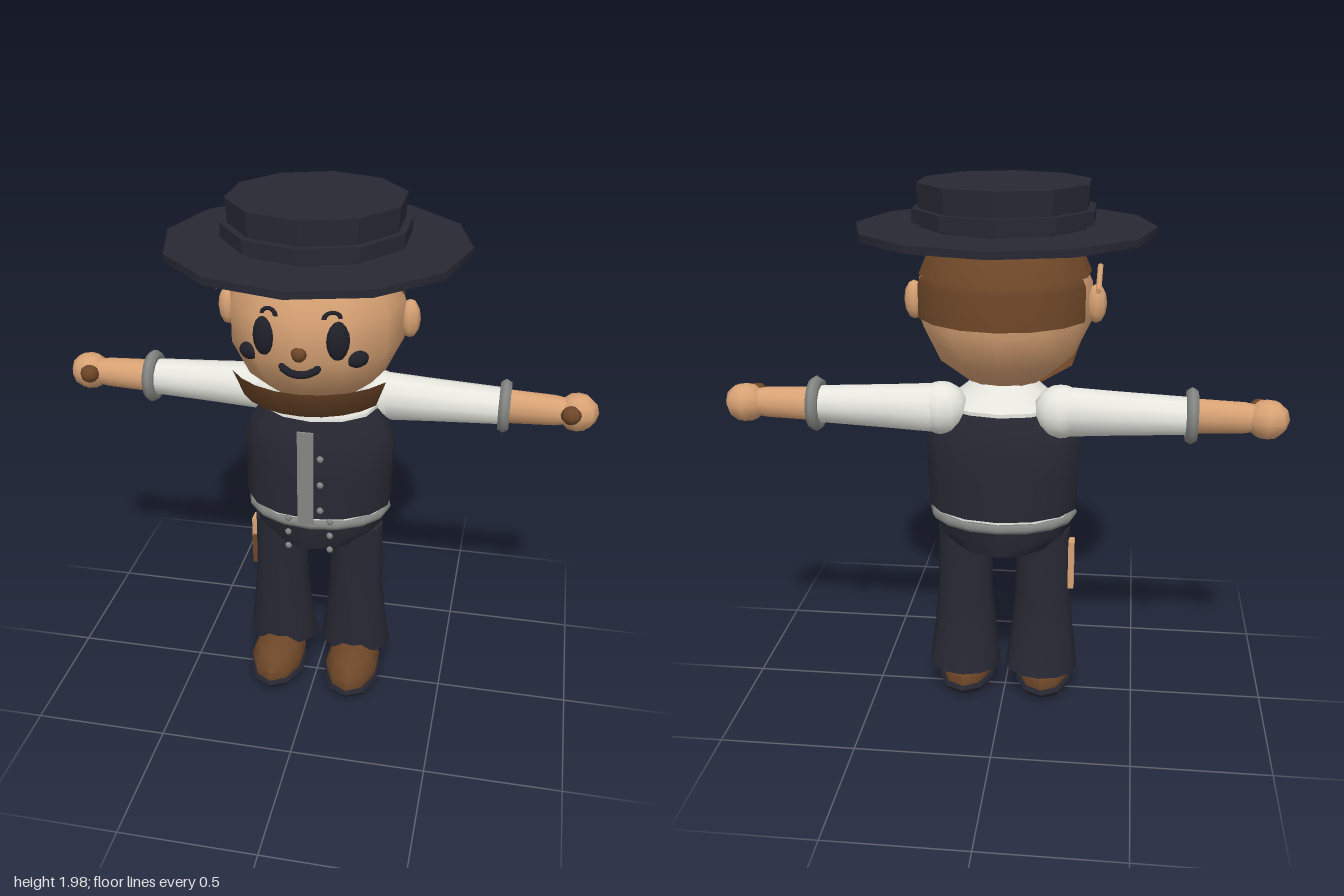
import * as THREE from 'three';
import { toCreasedNormals } from 'three/addons/utils/BufferGeometryUtils.js';

const mat = (name, color) => {
  const m = new THREE.MeshStandardMaterial({ color, side: THREE.DoubleSide });
  m.name = name;
  return m;
};

// Closed solid through elliptical rings [y, rx, rz, cz], listed bottom to top
function loft(rings, seg = 12, crease = 0.7) {
  const pos = [], idx = [];
  for (const [y, rx, rz, cz = 0] of rings)
    for (let j = 0; j < seg; j++) {
      const a = (j / seg) * Math.PI * 2;
      pos.push(rx * Math.sin(a), y, cz + rz * Math.cos(a));
    }
  const last = rings.length - 1;
  pos.push(0, rings[0][0], rings[0][3] || 0, 0, rings[last][0], rings[last][3] || 0);
  const low = rings.length * seg, high = low + 1;
  for (let j = 0; j < seg; j++) {
    const k = (j + 1) % seg;
    for (let i = 0; i < last; i++) {
      const a = i * seg + j, b = i * seg + k;
      idx.push(a, b, b + seg, a, b + seg, a + seg);
    }
    idx.push(low, k, j, high, last * seg + j, last * seg + k);
  }
  const g = new THREE.BufferGeometry();
  g.setAttribute('position', new THREE.Float32BufferAttribute(pos, 3));
  g.setIndex(idx);
  return toCreasedNormals(g, crease);
}

export function createModel() {
  const root = new THREE.Group();
  root.name = 'figure';
  const navy = mat('navy cloth', 0x282834);
  const ink = mat('ink', 0x20202a);
  const skin = mat('skin', 0xd8a274);
  const brown = mat('brown', 0x6e4728);
  const white = mat('white shirt', 0xe6e6df);
  const grey = mat('grey trim', 0x858784);

  const add = (name, geo, material, x = 0, y = 0, z = 0) => {
    const m = new THREE.Mesh(geo, material);
    m.name = name;
    m.position.set(x, y, z);
    root.add(m);
    return m;
  };
  const ball = (name, material, p, r, w = 10, h = 8) => {
    const m = add(name, new THREE.SphereGeometry(1, w, h), material, ...p);
    m.scale.set(...r);
    return m;
  };
  const shell = (name, pts, from, to, seg) => add(name, new THREE.LatheGeometry(
    pts.map(p => new THREE.Vector2(...p)), seg, from, to - from), brown);

  // Hat
  add('hatBrim', loft([[1.8, 0.525, 0.525], [1.826, 0.525, 0.525]]), navy);
  add('hatCrown', loft([[1.82, 0.295, 0.295], [1.975, 0.306, 0.306]], 10, 0.5), navy);
  add('hatBand', loft([[1.842, 0.325, 0.325], [1.89, 0.325, 0.325]], 10, 0.5), navy);

  // Head, hair and beard
  add('head', new THREE.SphereGeometry(0.315, 12, 7), skin, 0, 1.565, 0);
  shell('hairBack', [[0.317, 1.52], [0.317, 1.64], [0.305, 1.667]], 2.0, Math.PI * 2 - 2.0, 6);
  shell('hairTop', [[0.305, 1.665], [0.262, 1.765], [0.215, 1.805]], 1.43, Math.PI * 2 - 1.43, 8);
  shell('beard', [[0, 1.235], [0.115, 1.23], [0.27, 1.29], [0.31, 1.39]], -1.05, 1.05, 8);

  // Face
  ball('nose', brown, [0, 1.53, 0.3], [0.027, 0.027, 0.024], 8, 6);
  const smile = new THREE.CatmullRomCurve3([
    [-0.06, 1.475, 0.288], [-0.03, 1.462, 0.3], [0, 1.458, 0.303], [0.03, 1.462, 0.3], [0.06, 1.475, 0.288],
  ].map(p => new THREE.Vector3(...p)));
  add('mouth', new THREE.TubeGeometry(smile, 10, 0.013, 6), ink);
  for (const s of [1, -1]) {
    ball('eye', ink, [s * 0.125, 1.575, 0.272], [0.04, 0.068, 0.024]).rotation.y = s * 0.4;
    ball('cheek', ink, [s * 0.185, 1.503, 0.238], [0.04, 0.029, 0.022]).rotation.y = s * 0.6;
    ball('mouthCorner', ink, [s * 0.058, 1.477, 0.286], [0.014, 0.014, 0.014], 6, 5);
    const brow = add('eyebrow', new THREE.TorusGeometry(0.027, 0.009, 5, 6, Math.PI), ink, s * 0.105, 1.65, 0.272);
    brow.rotation.set(-0.25, s * 0.35, s * 0.1);
    brow.scale.y = 0.75;
    ball('ear', skin, [s * 0.322, 1.56, -0.015], [0.037, 0.07, 0.036], 8, 6);
  }
  // Pencil tucked above the right ear
  const pencil = add('earPencil', new THREE.CylinderGeometry(0.011, 0.011, 0.2, 6), skin, -0.33, 1.645, 0.0);
  pencil.rotation.x = Math.PI / 2 - 0.25;

  // Torso
  const cz = -0.052;
  add('shirt', loft([[0.79, 0.262, 0.19, cz], [1.18, 0.215, 0.165, cz], [1.205, 0.215, 0.165, cz],
    [1.27, 0.13, 0.12, -0.04], [1.3, 0.1, 0.1, -0.03]]), white);
  add('vest', loft([[0.812, 0.275, 0.202, cz], [0.95, 0.28, 0.203, cz], [1.07, 0.284, 0.203, cz],
    [1.13, 0.258, 0.192, cz], [1.192, 0.218, 0.172, cz]], 14), navy);
  const belt = add('belt', new THREE.TorusGeometry(0.255, 0.019, 6, 16), grey, 0, 0.782, cz);
  belt.rotation.x = Math.PI / 2;
  belt.scale.y = 0.75;
  add('hips', loft([[0.665, 0.18, 0.178, cz], [0.72, 0.245, 0.188, cz], [0.79, 0.255, 0.195, cz]]), navy);
  add('placket', new THREE.BoxGeometry(0.058, 0.37, 0.01), grey, -0.003, 1.005, 0.195);
  for (const y of [1.09, 0.985, 0.88])
    ball('vestButton', grey, [0.05, y, 0.195], [0.013, 0.013, 0.01], 6, 5);

  for (const s of [1, -1]) {
    for (const y of [0.81, 0.75, 0.69])
      ball('hipButton', grey, [s * 0.078, y, 0.152], [0.013, 0.013, 0.01], 6, 5);

    // Arm, stretched sideways
    const ay = 1.2, az = -0.14;
    const limb = (name, rings, material) => {
      add(name, loft(rings), material, 0, ay, az).rotation.z = -s * Math.PI / 2;
    };
    ball('shoulder', white, [s * 0.21, 1.2, az], [0.095, 0.095, 0.09], 12, 8);
    limb('sleeve', [[0.2, 0.092, 0.085], [0.4, 0.08, 0.077], [0.67, 0.066, 0.07]], white);
    add('cuff', new THREE.TorusGeometry(0.077, 0.023, 6, 14), grey, s * 0.665, ay, az).rotation.y = Math.PI / 2;
    limb('forearm', [[0.66, 0.064, 0.056], [0.845, 0.056, 0.05], [0.9, 0.045, 0.045]], skin);
    ball('hand', skin, [s * 0.923, 1.198, -0.145], [0.077, 0.07, 0.07], 8, 6);
    ball('thumb', brown, [s * 0.9, 1.215, -0.075], [0.037, 0.034, 0.034], 8, 6);

    // Flared trouser leg
    add('leg', loft([[0.14, 0.138, 0.115, -0.068], [0.3, 0.118, 0.1, -0.05], [0.45, 0.104, 0.094, -0.042],
      [0.71, 0.1, 0.096, -0.035]]), navy, s * 0.148);

    // Shoe
    add('sole', loft([[0, 0.06, 0.1, 0.025], [0.022, 0.1, 0.155, 0.025], [0.045, 0.112, 0.175, 0.025],
      [0.062, 0.105, 0.168, 0.025]], 10), navy, s * 0.152);
    add('shoe', loft([[0.05, 0.095, 0.165, 0.025], [0.1, 0.106, 0.168, 0.025], [0.145, 0.082, 0.135, 0.02],
      [0.176, 0.04, 0.09, 0.015]], 10, 1.1), brown, s * 0.152);
  }

  // Folding rule in the right thigh pocket
  add('rule', new THREE.BoxGeometry(0.022, 0.19, 0.05), skin, -0.256, 0.575, -0.06);
  add('rulePocket', new THREE.BoxGeometry(0.022, 0.12, 0.02), brown, -0.252, 0.54, -0.03);
  return root;
}
